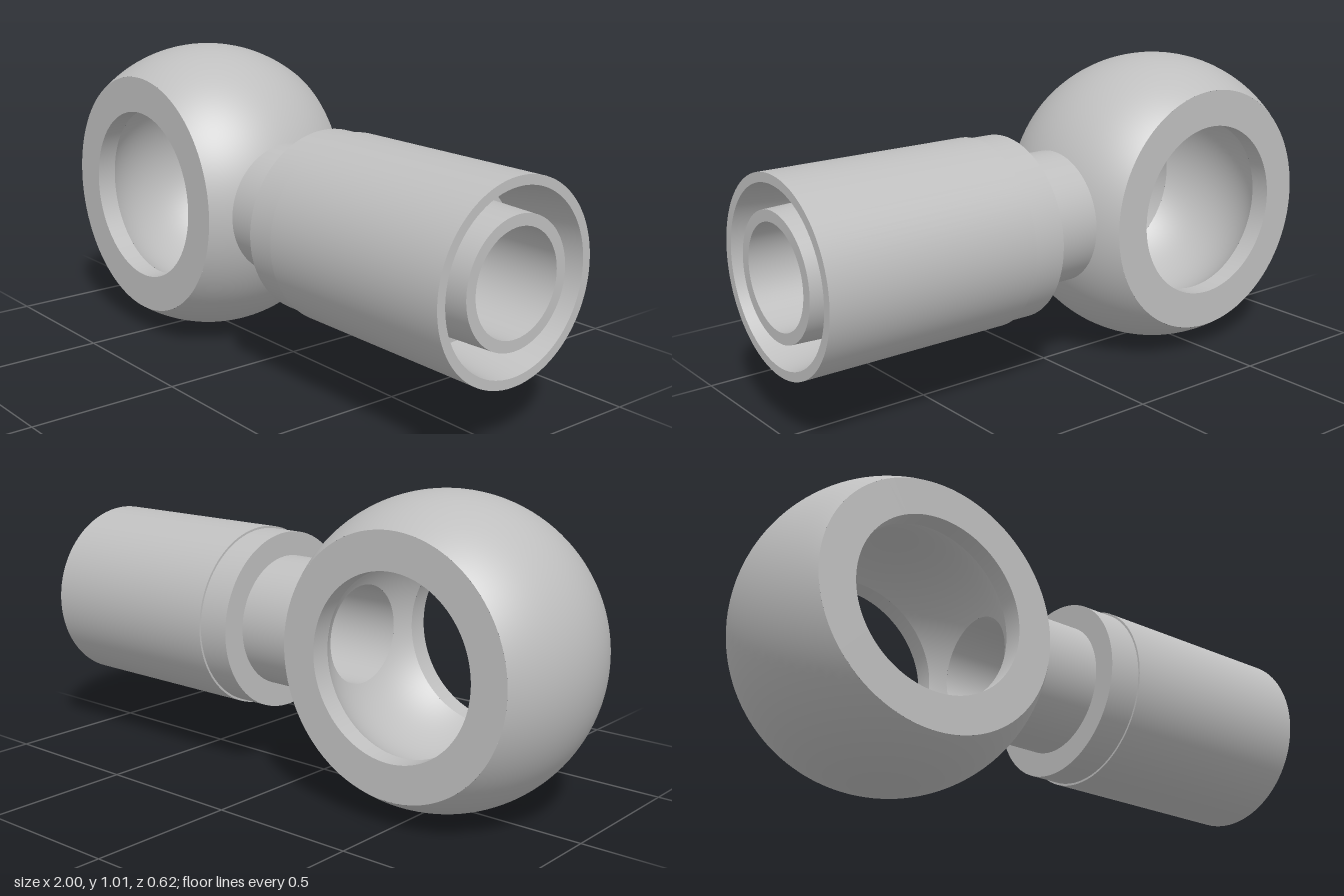
import * as THREE from 'three';
import { toCreasedNormals } from 'three/addons/utils/BufferGeometryUtils.js';
import { ParametricGeometry } from 'three/addons/geometries/ParametricGeometry.js';

const R = 0.505;                          // ball radius
const HALF = 0.288;                       // half width between the flats
const HOLE = 0.293;                       // radius of the cross hole
const LIP = 0.22;                         // inner end of the hole's short lip
const CAVITY = Math.hypot(HOLE, LIP);     // radius of the hollow inside
const BORE = 0.165;
const SPLIT = 0.8;                        // angle of the patch around the stem

export function createModel() {
  const steel = new THREE.MeshStandardMaterial({ color: 0xbfbfbf });
  steel.name = 'steel grey';
  const model = new THREE.Group();
  model.name = 'banjoFitting';

  const add = (parent, name, geometry) => {
    const mesh = new THREE.Mesh(geometry, steel);
    mesh.name = name;
    parent.add(mesh);
    return mesh;
  };

  const lathe = (profile) => toCreasedNormals(
    new THREE.LatheGeometry(profile.map(([r, y]) => new THREE.Vector2(r, y)), 96), 0.5);

  // Sphere zone between two flats (|z| < h), pierced by a round hole on +x.
  const addZone = (parent, name, radius, h, hole, inward) => {
    const put = (theta, z, target) => {
      const r = Math.sqrt(radius * radius - z * z);
      target.set(r * Math.cos(theta), r * Math.sin(theta), z);
    };
    const finish = (geometry) => {
      const p = geometry.attributes.position, n = geometry.attributes.normal;
      const s = (inward ? -1 : 1) / radius;
      for (let i = 0; i < p.count; i++) n.setXYZ(i, p.getX(i) * s, p.getY(i) * s, p.getZ(i) * s);
      return geometry;
    };
    // plain band around the far side
    const band = (u, v, target) => {
      const t = inward ? 1 - u : u;
      put(SPLIT + t * 2 * (Math.PI - SPLIT), (2 * v - 1) * h, target);
    };
    // patch blending from a rectangle to the round hole
    const corners = [[1, -1], [1, 1], [-1, 1], [-1, -1]];
    const patch = (u, v, target) => {
      const q = 4 * (inward ? 1 - u : u);
      const side = Math.floor(q), f = q - side;
      const a = corners[side % 4], b = corners[(side + 1) % 4];
      const sx = a[0] + (b[0] - a[0]) * f, sy = a[1] + (b[1] - a[1]) * f;
      const phi = Math.atan2(sy, sx);
      const hz = hole * Math.sin(phi);
      const ht = Math.asin(hole * Math.cos(phi) / Math.sqrt(radius * radius - hz * hz));
      put(SPLIT * sx + (ht - SPLIT * sx) * v, h * sy + (hz - h * sy) * v, target);
    };
    add(parent, name, finish(new ParametricGeometry(band, 80, 24)));
    add(parent, name + 'StemSide', finish(new ParametricGeometry(patch, 96, 12)));
  };

  // Hollow ball with two flats
  const ball = new THREE.Group();
  ball.name = 'ball';
  ball.position.set(-1 + R, R, 0);
  model.add(ball);
  addZone(ball, 'ballOutside', R, HALF, 0.2, false);
  addZone(ball, 'ballCavity', CAVITY, LIP, BORE, true);
  for (const s of [1, -1]) {
    const flat = lathe([[Math.sqrt(R * R - HALF * HALF), HALF], [HOLE, HALF], [HOLE, LIP]]);
    add(ball, s > 0 ? 'frontFlat' : 'backFlat', flat.rotateX(s * Math.PI / 2));
  }

  // Stem parts turned around the x axis: [radius, x]
  const stem = new THREE.Group();
  stem.name = 'stem';
  stem.position.y = R;
  model.add(stem);
  const turned = {
    neck: [[0.222, -0.06], [0.222, 0.165]],
    collar: [[0.222, 0.165], [0.303, 0.165], [0.303, 0.278]],
    sleeve: [[0.303, 0.278], [0.31, 0.278], [0.31, 1], [0.28, 1], [0.249, 0.75], [0.21, 0.75]],
    nipple: [[0.21, 0.75], [0.201, 1], [BORE, 1]],
    bore: [[BORE, 1], [BORE, -1 + R + Math.sqrt(CAVITY ** 2 - BORE ** 2)]],
  };
  for (const [name, profile] of Object.entries(turned)) {
    add(stem, name, lathe(profile).rotateZ(-Math.PI / 2));
  }
  return model;
}
